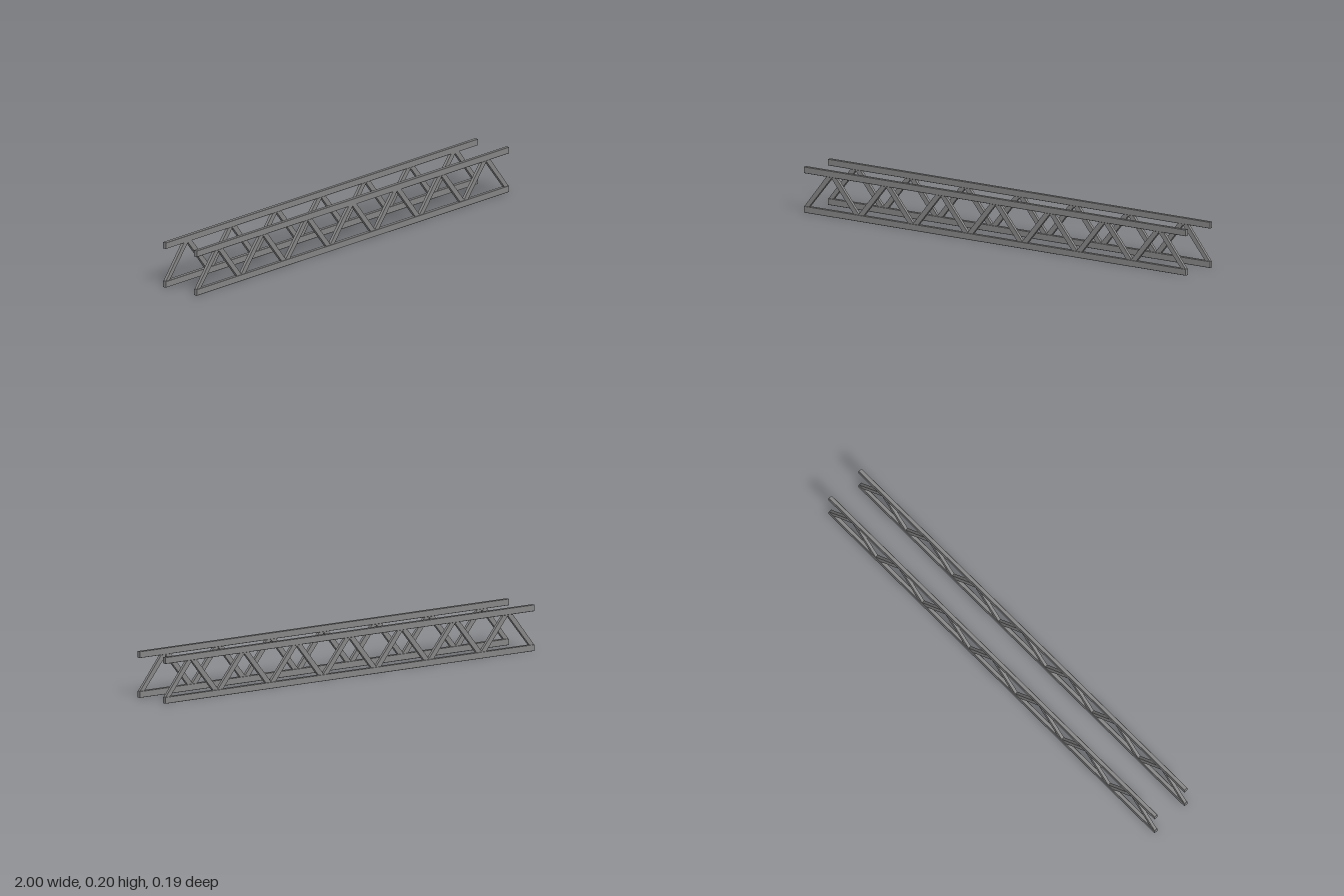
import * as THREE from 'three';

const LENGTH = 2, HEIGHT = 0.2, BAYS = 7;
const CHORD_H = 0.028, CHORD_W = 0.017, CHAMFER = 0.001;
const WEB_W = 0.0135, WEB_HALF = 0.0145; // web depth in z, half width measured along x
const TRUSS_Z = 0.088;

const material = new THREE.MeshStandardMaterial({ color: 0x868686 });

function prism(points, depth) {
  const shape = new THREE.Shape(points.map(([x, y]) => new THREE.Vector2(x, y)));
  return new THREE.ExtrudeGeometry(shape, { depth, bevelEnabled: false }).translate(0, 0, -depth / 2);
}

// Long bar along x with slightly chamfered edges
function chord(name, y) {
  const w = CHORD_W / 2, h = CHORD_H / 2, c = CHAMFER;
  const section = [[w, -h + c], [w, h - c], [w - c, h], [-w + c, h],
    [-w, h - c], [-w, -h + c], [-w + c, -h], [w - c, -h]];
  const mesh = new THREE.Mesh(prism(section, LENGTH).rotateY(Math.PI / 2), material);
  mesh.position.y = y;
  mesh.name = name;
  return mesh;
}

// Slanted web bar between chord centre lines, cut just inside the chord faces
function diagonal(name, xBottom, xTop) {
  const yLow = CHORD_H - 0.002, yHigh = HEIGHT - yLow;
  const t = (yLow - CHORD_H / 2) / (HEIGHT - CHORD_H);
  const x0 = THREE.MathUtils.lerp(xBottom, xTop, t);
  const x1 = THREE.MathUtils.lerp(xTop, xBottom, t);
  const limit = (x) => THREE.MathUtils.clamp(x, -LENGTH / 2, LENGTH / 2);
  const mesh = new THREE.Mesh(prism([
    [limit(x0 - WEB_HALF), yLow], [limit(x0 + WEB_HALF), yLow],
    [x1 + WEB_HALF, yHigh], [x1 - WEB_HALF, yHigh],
  ], WEB_W), material);
  mesh.name = name;
  return mesh;
}

function truss(name, z) {
  const group = new THREE.Group();
  group.name = name;
  group.position.z = z;
  group.add(chord('bottomChord', CHORD_H / 2), chord('topChord', HEIGHT - CHORD_H / 2));
  const bay = LENGTH / BAYS;
  for (let i = 0; i < BAYS; i++) {
    const x = -LENGTH / 2 + i * bay;
    group.add(diagonal('risingDiagonal', x, x + bay / 2));
    group.add(diagonal('fallingDiagonal', x + bay, x + bay / 2));
  }
  return group;
}

export function createModel() {
  const model = new THREE.Group();
  model.name = 'trussPair';
  model.add(truss('frontTruss', TRUSS_Z), truss('backTruss', -TRUSS_Z));
  return model;
}
